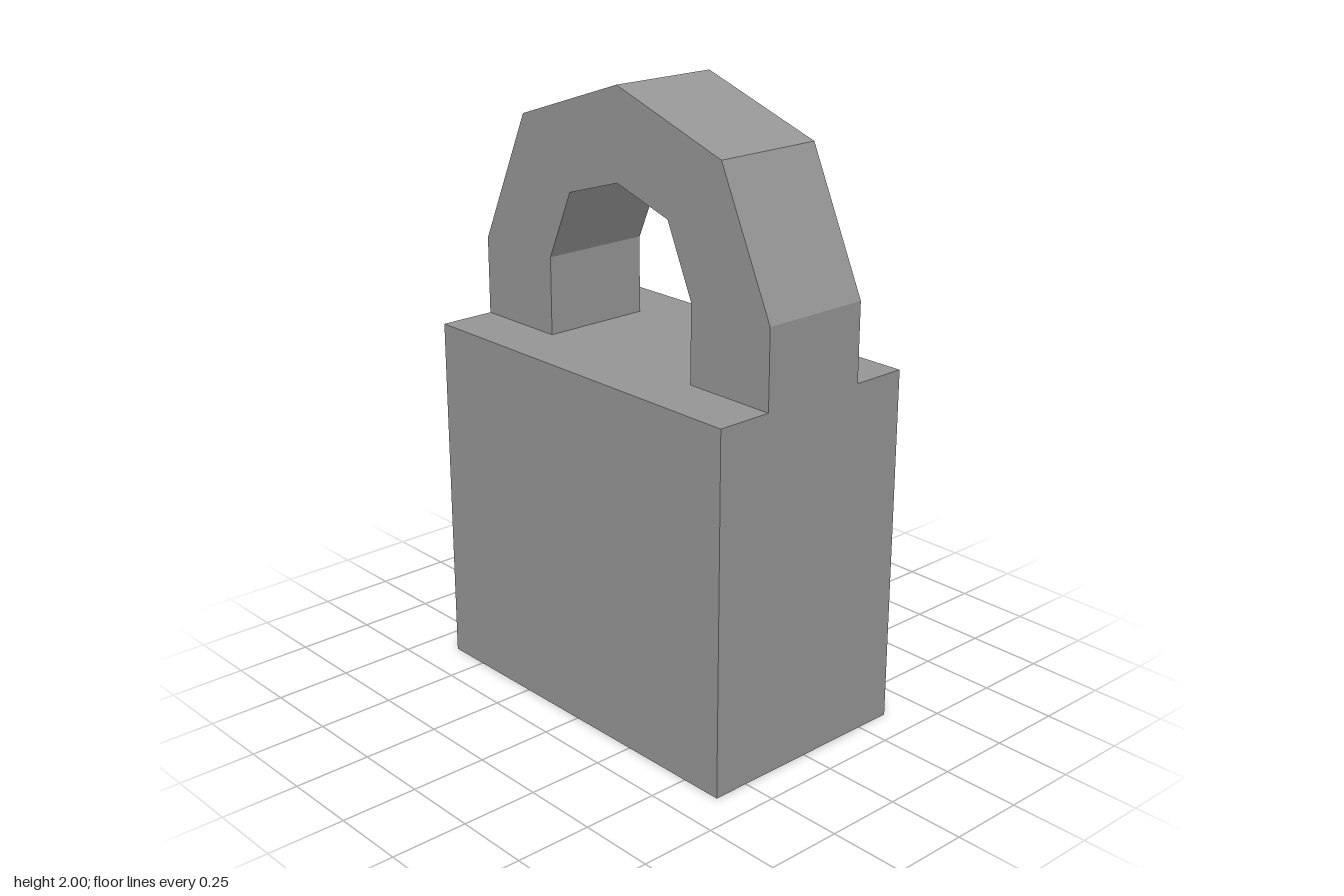
import * as THREE from 'three';

export function createModel() {
  const model = new THREE.Group();
  const material = new THREE.MeshStandardMaterial({ color: 0x969696, flatShading: true });
  const bodyHeight = 1.165, shackleDepth = 0.37;

  // Solid rectangular body
  const body = new THREE.Mesh(new THREE.BoxGeometry(1.28, bodyHeight, 0.74), material);
  body.name = 'body';
  body.position.y = bodyHeight / 2;
  model.add(body);

  // Faceted shackle: right half of each edge, from the foot up to the crown
  const outer = [[0.64, bodyHeight], [0.64, 1.418], [0.44, 1.852], [0, 2]];
  const inner = [[0.32, bodyHeight], [0.32, 1.418], [0.22, 1.642], [0, 1.71]];

  // Mirror a half edge into a full arch running from +x to -x
  const arch = (half) => [...half, ...half.slice(0, -1).reverse().map(([x, y]) => [-x, y])];
  const outline = [...arch(outer), ...arch(inner).reverse()];
  const shape = new THREE.Shape(outline.map(([x, y]) => new THREE.Vector2(x, y)));
  const geometry = new THREE.ExtrudeGeometry(shape, { depth: shackleDepth, bevelEnabled: false });
  geometry.translate(0, 0, -shackleDepth / 2);

  const shackle = new THREE.Mesh(geometry, material);
  shackle.name = 'shackle';
  model.add(shackle);

  return model;
}
